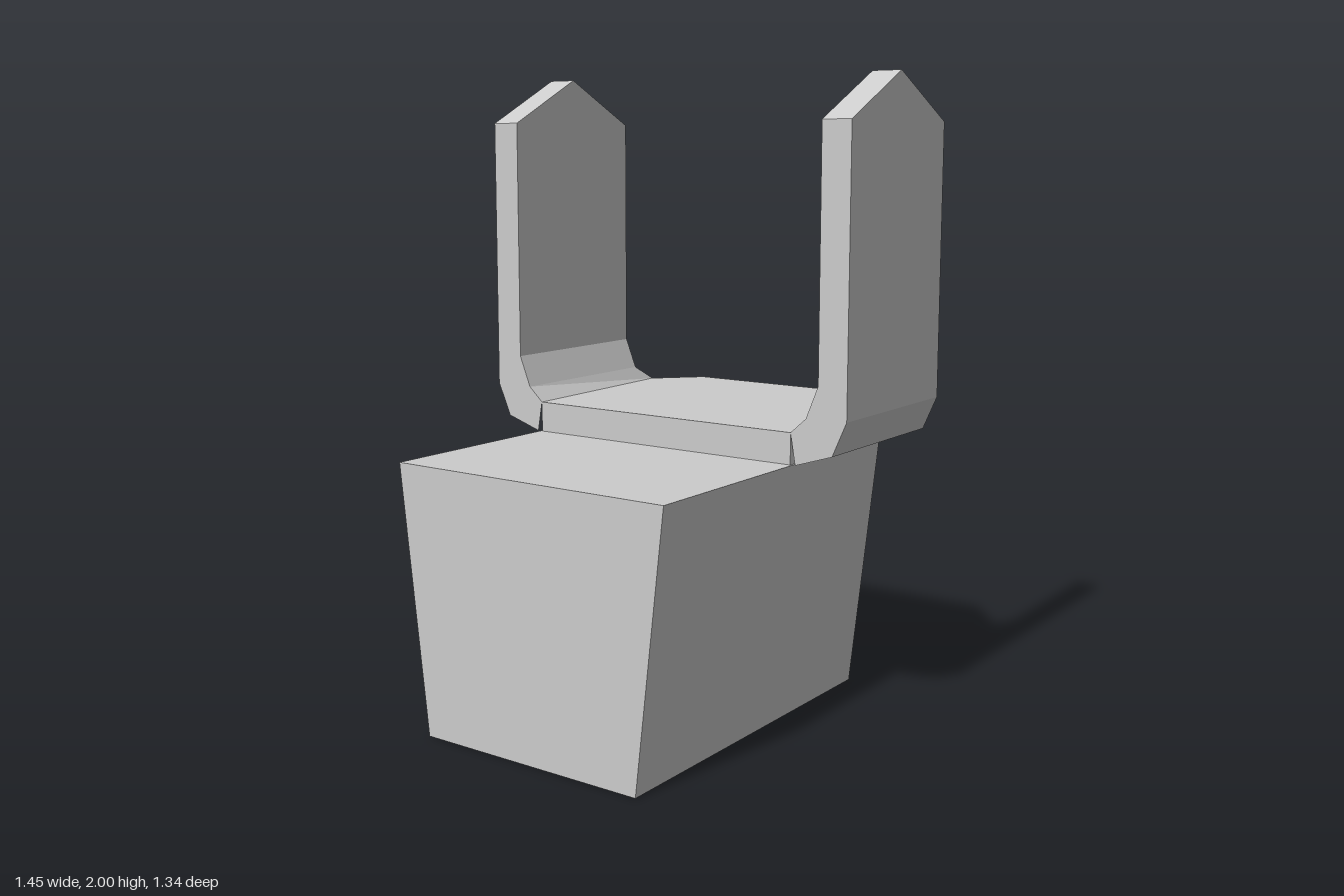
import * as THREE from 'three';

const material = new THREE.MeshStandardMaterial({ color: 0xcccccc, flatShading: true });

function part(name, geometry) {
  const mesh = new THREE.Mesh(geometry, material);
  mesh.name = name;
  return mesh;
}

// Skins a stack of four-cornered rings; side = -1 mirrors it across z
function loft(rings, side) {
  const out = [];
  const tri = new THREE.Triangle();
  const add = (a, b, c) => {
    tri.set(a, b, c);
    if (tri.getArea() < 1e-6) return;
    for (const p of side > 0 ? [a, b, c] : [a, c, b]) out.push(p.x, p.y, p.z * side);
  };
  for (let r = 0; r < rings.length - 1; r++) {
    for (let i = 0; i < 4; i++) {
      const j = (i + 1) % 4;
      const [lo, hi] = [rings[r], rings[r + 1]];
      add(lo[i], lo[j], hi[j]);
      add(lo[i], hi[j], hi[i]);
    }
  }
  const geometry = new THREE.BufferGeometry();
  geometry.setAttribute('position', new THREE.Float32BufferAttribute(out, 3));
  geometry.computeVertexNormals();
  return geometry;
}

const BACK = -0.075, FRONT = 0.51, PEAK = 0.218;

// Ring of an arm: inner and outer [z, y] at both ends in x
function ring(inner, outer, x0 = BACK, x1 = FRONT) {
  const v = (x, [z, y]) => new THREE.Vector3(x, y, z);
  return [v(x0, inner), v(x0, outer), v(x1, outer), v(x1, inner)];
}

export function createModel() {
  const model = new THREE.Group();

  // Block tapering towards the ground in z
  const block = new THREE.BoxGeometry(1.195, 0.84, 0.98);
  const pos = block.attributes.position;
  for (let i = 0; i < pos.count; i++) {
    if (pos.getY(i) < 0) pos.setZ(i, Math.sign(pos.getZ(i)) * 0.393);
  }
  block.translate(-0.1275, 0.42, 0);
  block.computeVertexNormals();
  model.add(part('baseBlock', block));

  // Flat plate with chamfered end
  const outline = new THREE.Shape([
    [BACK, -0.483], [0.58, -0.51], [0.72, -0.38],
    [0.72, 0.38], [0.58, 0.51], [BACK, 0.483],
  ].map(([x, z]) => new THREE.Vector2(x, z)));
  const plate = new THREE.ExtrudeGeometry(outline, { depth: 0.098, bevelEnabled: false });
  plate.rotateX(Math.PI / 2).translate(0, 0.938, 0);
  model.add(part('cradlePlate', plate));

  // Arms: plate edge, two bends, upright, pointed top
  const root = [
    new THREE.Vector3(BACK, 0.938, 0.483), new THREE.Vector3(BACK, 0.84, 0.5),
    new THREE.Vector3(0.58, 0.84, 0.51), new THREE.Vector3(0.58, 0.938, 0.51),
  ];
  const rings = [
    root,
    ring([0.535, 0.985], [0.625, 0.88]),
    ring([0.575, 1.085], [0.672, 0.987]),
    ring([0.575, 1.853], [0.672, 1.853]),
    ring([0.575, 2], [0.672, 2], PEAK, PEAK),
  ];
  model.add(part('leftArm', loft(rings, 1)), part('rightArm', loft(rings, -1)));
  model.children[2].name = 'frontArm';
  model.children[3].name = 'backArm';

  return model;
}
